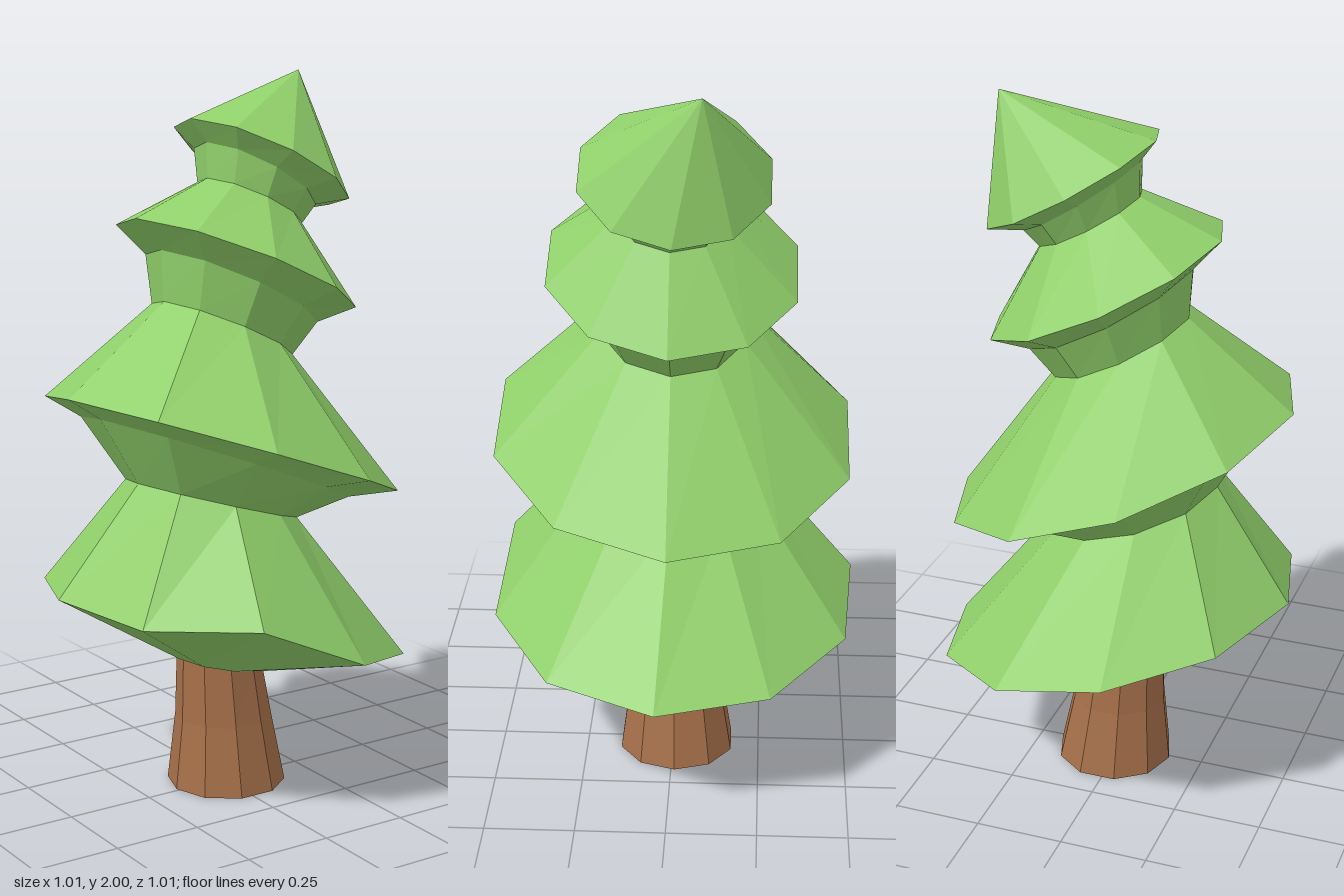
import * as THREE from 'three';

const SIDES = 10;
const rad = THREE.MathUtils.degToRad;

// One ten-sided ring: centre, radius, sideways tilt and twist in degrees.
// Optional lift raises single corners: { index: dy }.
function ring(x, y, z, r, tilt = 0, twist = 0, lift = {}) {
  const points = [];
  for (let i = 0; i < SIDES; i++) {
    const a = rad((i * 360) / SIDES + twist);
    const u = r * Math.cos(a), w = r * Math.sin(a);
    const lean = tilt > 15 ? 0.05 : 0;
    points.push(new THREE.Vector3(
      x + u * Math.cos(rad(tilt)),
      y - u * Math.sin(rad(tilt)) + w * lean + (lift[i] || 0),
      z + w));
  }
  return points;
}

// Skin a list of rings, listed from bottom to top, with flat facets.
function loft(rings) {
  const pos = [];
  const tri = (a, b, c) => {
    if (a.equals(b) || b.equals(c) || a.equals(c)) return;
    for (const p of [a, b, c]) pos.push(p.x, p.y, p.z);
  };
  for (let k = 0; k < rings.length - 1; k++) {
    const lo = rings[k], hi = rings[k + 1];
    for (let i = 0; i < SIDES; i++) {
      const j = (i + 1) % SIDES;
      tri(lo[i], hi[i], lo[j]);
      tri(lo[j], hi[i], hi[j]);
    }
  }
  const geo = new THREE.BufferGeometry();
  geo.setAttribute('position', new THREE.Float32BufferAttribute(pos, 3));
  geo.computeVertexNormals();
  return geo;
}

export function createModel() {
  const group = new THREE.Group();
  const bark = new THREE.MeshStandardMaterial({ color: 0xa6704a, flatShading: true });
  const leaves = new THREE.MeshStandardMaterial({ color: 0x90cf6a, flatShading: true });
  const add = (name, material, rings) => {
    const mesh = new THREE.Mesh(loft(rings), material);
    mesh.name = name;
    group.add(mesh);
  };

  // Trunk, closed at both ends
  add('trunk', bark, [
    ring(0.015, 0, -0.01, 0),
    ring(0.015, 0, -0.01, 0.168),
    ring(0.003, 0.2, -0.007, 0.137),
    ring(-0.01, 0.37, -0.007, 0.122, 10),
    ring(-0.01, 0.37, -0.007, 0),
  ]);

  // Narrow rings shared by neighbouring tiers
  const waists = [
    ring(-0.045, 0.84, 0.005, 0.245, 17),
    ring(-0.005, 1.31, 0, 0.207, 26),
    ring(0.085, 1.65, 0, 0.155, 28),
  ];

  // Lowest skirt with its shallow underside
  add('lowestTier', leaves, [
    ring(-0.01, 0.365, 0, 0),
    ring(-0.01, 0.365, 0, 0.14, 10),
    ring(0, 0.49, -0.005, 0.52, 13.3, 4, { 3: 0.065 }),
    waists[0],
  ]);

  // Second skirt
  add('secondTier', leaves, [
    waists[0],
    ring(-0.03, 0.955, 0, 0.39, 22),
    ring(-0.008, 0.99, 0, 0.51, 20),
    waists[1],
  ]);

  // Third skirt
  add('thirdTier', leaves, [
    waists[1],
    ring(0.025, 1.42, 0, 0.255, 28),
    ring(0.04, 1.48, 0, 0.35, 25),
    waists[2],
  ]);

  // Crown, ending in a bent tip
  add('crown', leaves, [
    waists[2],
    ring(0.105, 1.72, -0.005, 0.185, 32),
    ring(0.13, 1.755, -0.01, 0.262, 29),
    ring(0.305, 2.0, -0.085, 0),
  ]);

  return group;
}
